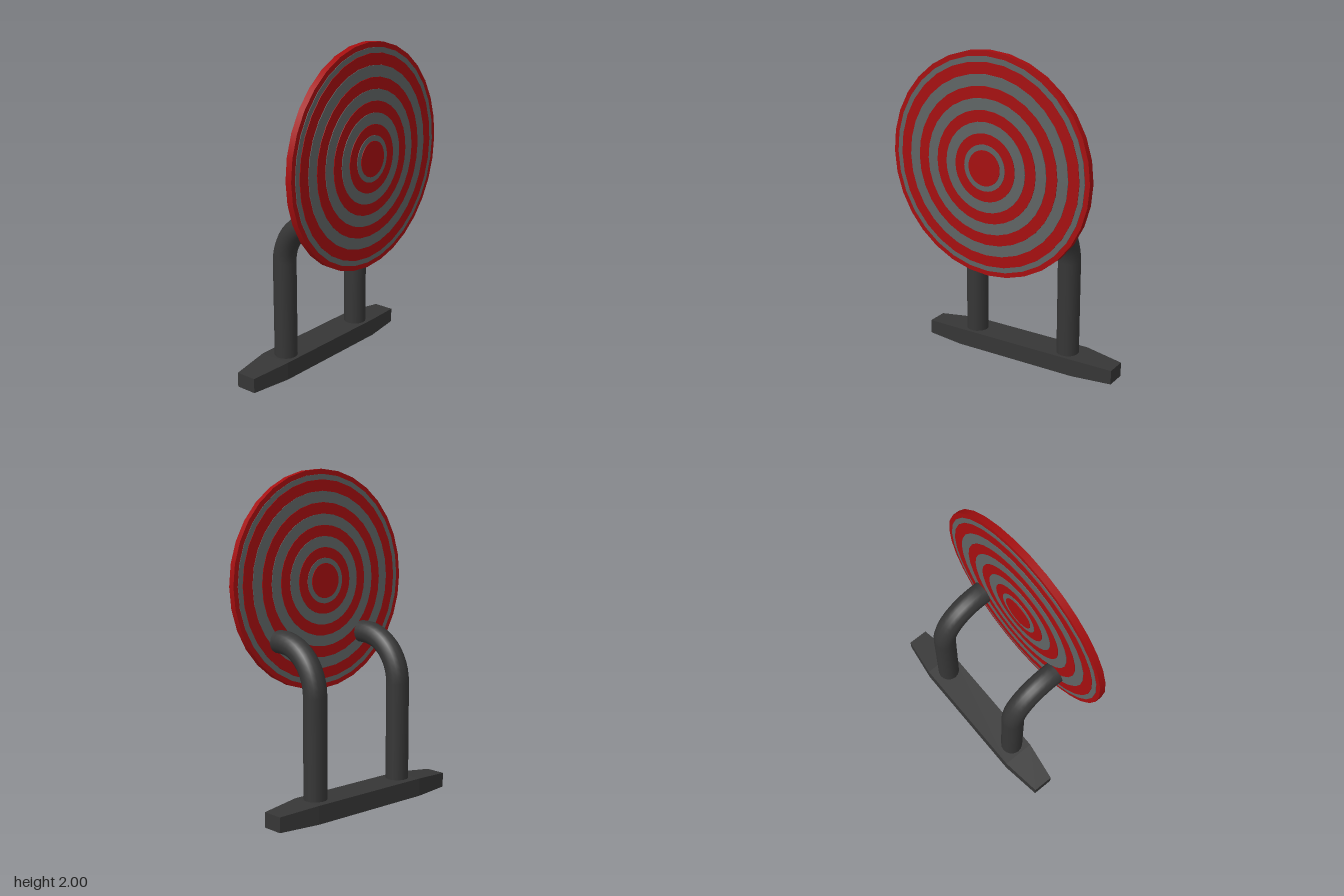
import * as THREE from 'three';

const red = new THREE.MeshStandardMaterial({ name: 'red', color: 0xa50e0f });
const grey = new THREE.MeshStandardMaterial({ name: 'grey', color: 0x5f6464 });
const dark = new THREE.MeshStandardMaterial({ name: 'charcoal', color: 0x363636 });

function addMesh(parent, name, geometry, material, x = 0, y = 0, z = 0) {
  const mesh = new THREE.Mesh(geometry, material);
  mesh.name = name;
  mesh.position.set(x, y, z);
  parent.add(mesh);
  return mesh;
}

// Bar on the ground, narrowing and sloping down towards both ends
function footGeometry() {
  const geo = new THREE.BoxGeometry(0.205, 0.11, 1.34, 1, 1, 3).toNonIndexed();
  const p = geo.attributes.position;
  for (let i = 0; i < p.count; i++) {
    const z = p.getZ(i);
    if (Math.abs(z) > 0.5) {
      p.setX(i, p.getX(i) * 0.64);
      if (p.getY(i) > 0) p.setY(i, 0.035);
    } else {
      p.setZ(i, Math.sign(z) * 0.415);
    }
  }
  geo.computeVertexNormals();
  return geo;
}

// Upright pipe, quarter bend and short stub reaching the disc
function makePipe(name, z) {
  const pipe = new THREE.Group();
  const r = 0.07, bend = 0.285, bendX = 0.14, bendY = 0.71;
  pipe.name = name;
  pipe.position.z = z;
  addMesh(pipe, 'upright', new THREE.CylinderGeometry(r, r, bendY - 0.08, 16), dark,
    bendX - bend, (bendY + 0.08) / 2);
  addMesh(pipe, 'bend', new THREE.TorusGeometry(bend, r, 16, 12, Math.PI / 2).rotateZ(Math.PI / 2), dark,
    bendX, bendY);
  addMesh(pipe, 'stub', new THREE.CylinderGeometry(r, r, 0.06, 16).rotateZ(Math.PI / 2), dark,
    bendX + 0.03, bendY + bend);
  return pipe;
}

export function createModel() {
  const model = new THREE.Group();
  model.name = 'targetStand';

  addMesh(model, 'foot', footGeometry(), dark, -0.157, 0.055, -0.005);
  model.add(makePipe('leftPipe', 0.325), makePipe('rightPipe', -0.345));

  // Stepped disc: each smaller ring is slightly thicker than the last
  const disc = new THREE.Group();
  disc.name = 'targetDisc';
  disc.position.set(0.202, 1.334, 0);
  const radii = [0.667, 0.637, 0.605, 0.537, 0.47, 0.402, 0.335, 0.268, 0.202, 0.138, 0.106];
  radii.forEach((radius, i) => {
    const thickness = 2 * (0.02 + i * 0.0032);
    const geo = new THREE.CylinderGeometry(radius, radius, thickness, 32).rotateZ(Math.PI / 2);
    addMesh(disc, `ring${i + 1}`, geo, i % 2 ? grey : red);
  });
  model.add(disc);
  return model;
}
